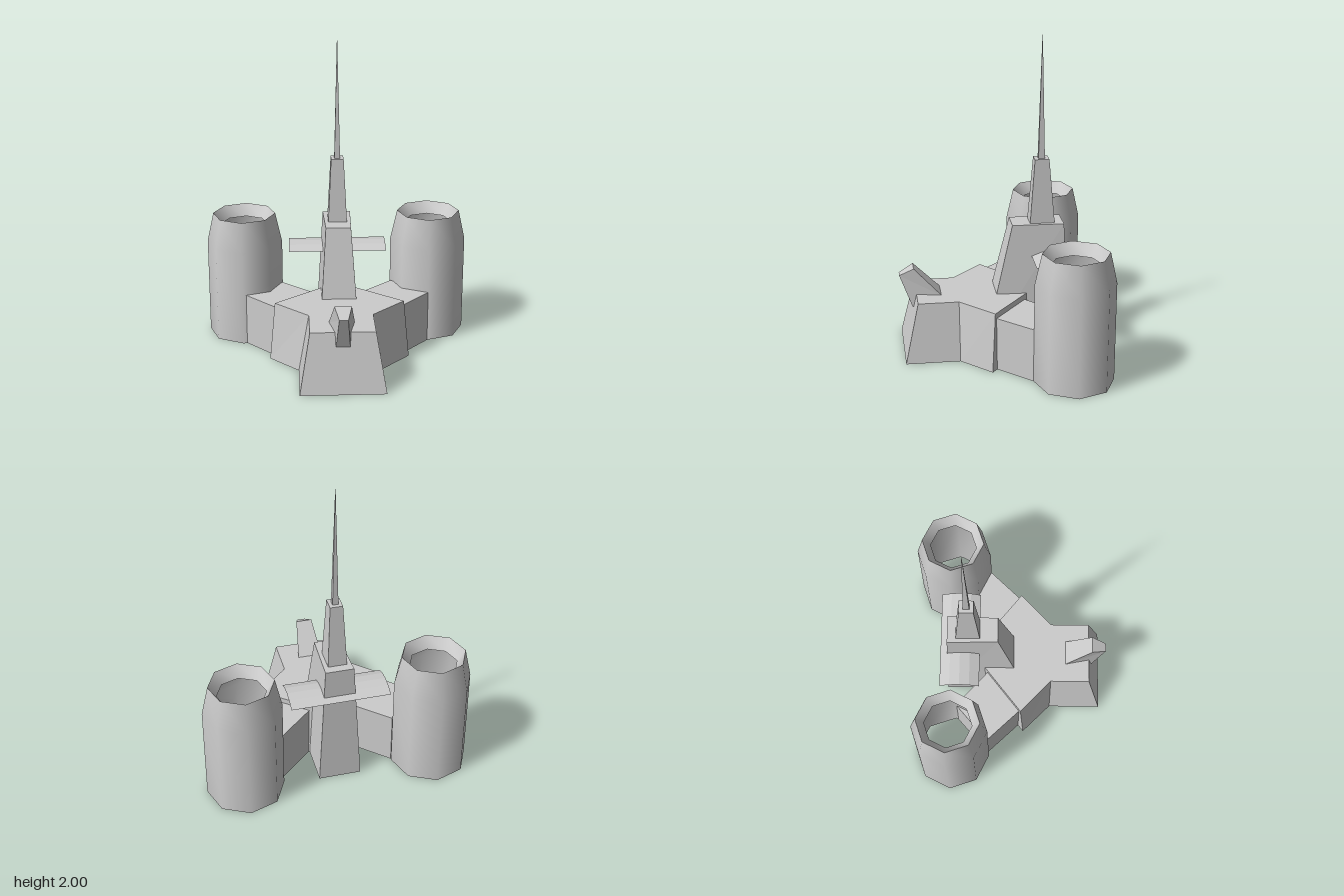
import * as THREE from 'three';
import { toCreasedNormals } from 'three/addons/utils/BufferGeometryUtils.js';

const flat = new THREE.MeshStandardMaterial({ color: 0xcccccc, flatShading: true, side: THREE.DoubleSide });
const smooth = new THREE.MeshStandardMaterial({ color: 0xcccccc, side: THREE.DoubleSide });

// Skin between two plan outlines ([x, z] corners, counter-clockwise from above), with optional caps
function loft(low, y0, high, y1, capTop = true, capBottom = false) {
  const pos = [];
  const n = low.length;
  const a = i => [low[i % n][0], y0, low[i % n][1]];
  const b = i => [high[i % n][0], y1, high[i % n][1]];
  for (let i = 0; i < n; i++) {
    pos.push(...a(i), ...a(i + 1), ...b(i + 1), ...a(i), ...b(i + 1), ...b(i));
  }
  // The plan is triangulated with z flipped so that faces wind upwards
  const tris = THREE.ShapeUtils.triangulateShape(low.map(([x, z]) => new THREE.Vector2(x, -z)), []);
  for (const [i, j, k] of tris) {
    if (capTop) pos.push(...b(i), ...b(j), ...b(k));
    if (capBottom) pos.push(...a(k), ...a(j), ...a(i));
  }
  const g = new THREE.BufferGeometry();
  g.setAttribute('position', new THREE.Float32BufferAttribute(pos, 3));
  g.computeVertexNormals();
  return g;
}

// Symmetric plan outline from its +x half, listed front to back
const mirrored = half => [...half, ...half.slice().reverse().map(([x, z]) => [-x, z])];
const rect = (wFront, front, wBack, back) => mirrored([[wFront, front], [wBack, back]]);

export function createModel() {
  const model = new THREE.Group();
  const add = (name, geometry, material = flat) => {
    const mesh = new THREE.Mesh(geometry, material);
    mesh.name = name;
    model.add(mesh);
    return mesh;
  };

  // Flared front hall
  add('hall', loft(
    mirrored([[0.265, 0.61], [0.265, 0.27], [0.445, 0.09], [0.13, -0.17]]), 0,
    mirrored([[0.2, 0.525], [0.2, 0.27], [0.41, 0.07], [0.11, -0.17]]), 0.375));

  // Leaning central block, upper stage and needle
  add('centralBlock', loft(rect(0.135, 0.11, 0.135, -0.43), 0, rect(0.08, -0.08, 0.09, -0.405), 0.82));
  add('upperStage', loft(rect(0.06, -0.195, 0.06, -0.35), 0.82, rect(0.04, -0.225, 0.04, -0.315), 1.23));
  add('needle', loft(rect(0.018, -0.25, 0.018, -0.29), 1.23, rect(0.001, -0.269, 0.001, -0.271), 2));

  // Thin arched wing through the block
  const wing = new THREE.PlaneGeometry(0.63, 0.255, 1, 4).rotateX(-Math.PI / 2);
  const p = wing.attributes.position;
  for (let i = 0; i < p.count; i++) {
    const t = p.getZ(i) / 0.1275;
    p.setY(i, 0.65 - 0.033 * t * t);
  }
  wing.translate(0, 0, -0.3275);
  wing.computeVertexNormals();
  add('wing', wing);

  // Tilted prow: side outline as [z, y, half width]
  const prow = [[0.365, 0.37, 0.08], [0.45, 0.29, 0.06], [0.55, 0.29, 0.043], [0.63, 0.5, 0.027], [0.54, 0.55, 0.052]];
  const prowGeo = loft(prow.map(([z, y]) => [z, -y]), -1, prow.map(([z, y]) => [z, -y]), 1, true, true);
  const q = prowGeo.attributes.position;
  for (let i = 0; i < q.count; i++) {
    const z = q.getX(i), y = -q.getZ(i), side = q.getY(i);
    const w = prow.find(c => Math.abs(c[0] - z) < 1e-4 && Math.abs(c[1] - y) < 1e-4)[2];
    q.setXYZ(i, -side * w, y, z);
  }
  prowGeo.computeVertexNormals();
  add('prow', prowGeo);

  // Hollow eight-sided side towers and the arms that join them to the hall
  const profile = [[0.246, 0], [0.246, 0.63], [0.203, 0.825], [0.152, 0.75]].map(c => new THREE.Vector2(...c));
  const arm = [[0.4, 0.06], [0.6, -0.15], [0.36, -0.36], [0.13, -0.15]];
  for (const s of [1, -1]) {
    const name = s > 0 ? 'left' : 'right';
    const shell = toCreasedNormals(new THREE.LatheGeometry(profile, 8, -0.06), 0.9);
    add(name + 'Tower', shell, smooth).position.set(0.605 * s, 0, -0.385);
    const plan = s > 0 ? arm : arm.map(([x, z]) => [-x, z]).reverse();
    add(name + 'Arm', loft(plan, 0, plan, 0.34));
  }
  return model;
}
